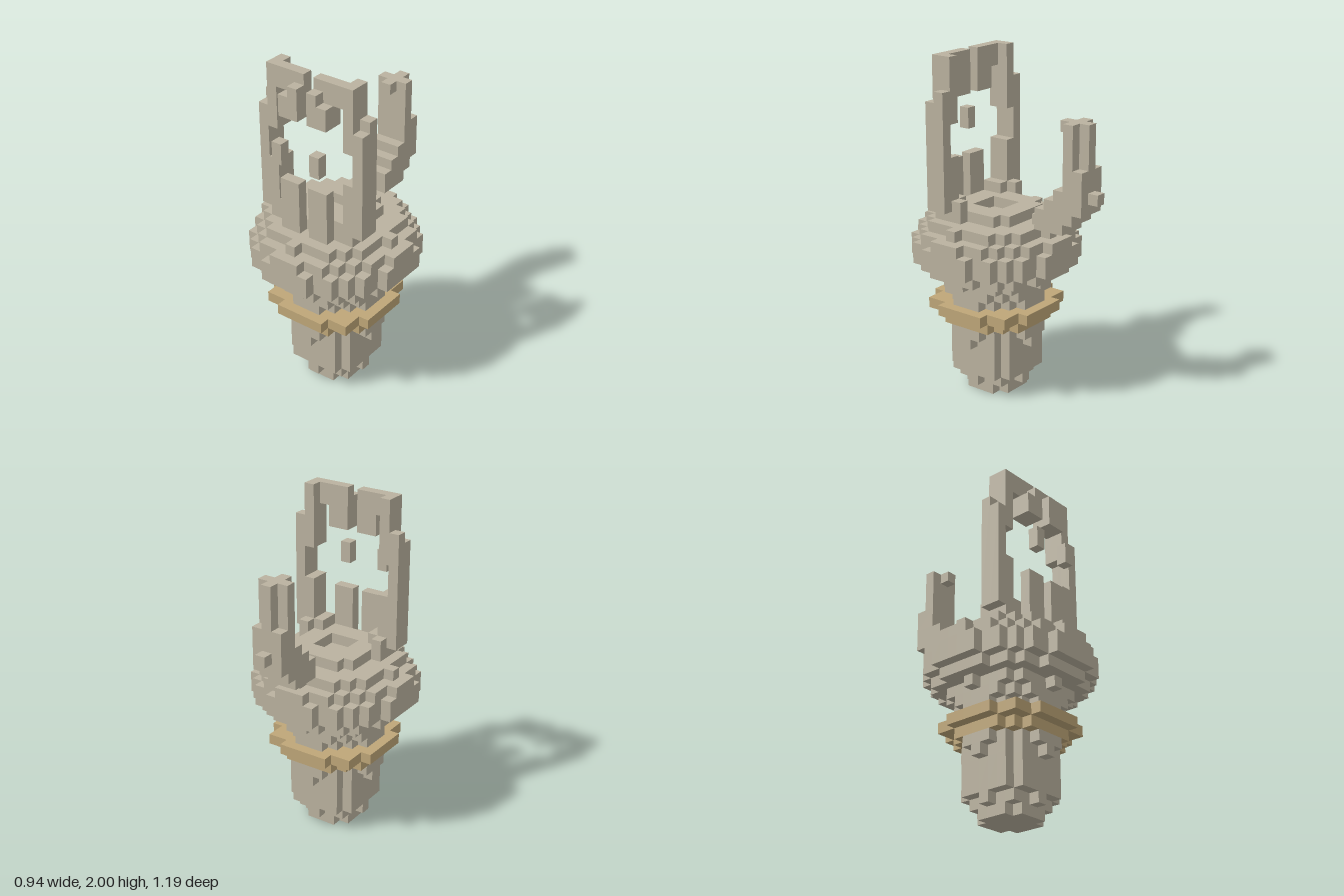
import * as THREE from 'three';
import { mergeGeometries } from 'three/addons/utils/BufferGeometryUtils.js';

const U = 1 / 16; // one cell of the block grid
const CZ = 2;     // grid z of the body's axis

// Block covering whole cells, both ends included; y counts up from the ground
function block([x0, x1, y0, y1, z0, z1]) {
  const g = new THREE.BoxGeometry((x1 - x0 + 1) * U, (y1 - y0 + 1) * U, (z1 - z0 + 1) * U);
  return g.translate((x0 + x1) / 2 * U, (y0 + y1 + 1) / 2 * U, (z0 + z1) / 2 * U);
}

// Round layers: half widths listed by distance from the axis
function disc(y0, y1, half) {
  return half.flatMap((w, d) => (d ? [-d, d] : [0]).map(s => [-w, w, y0, y1, CZ + s, CZ + s]));
}

// Half widths of a stepped circle with the given squared radius
function round(r2) {
  const half = [];
  for (let d = 0; d * d <= r2; d++) half.push(Math.floor(Math.sqrt(r2 - d * d)));
  return half;
}

const mirror = boxes => boxes.flatMap(b => [b, [-b[1], -b[0], ...b.slice(2)]]);

export function createModel() {
  const group = new THREE.Group();
  const stone = new THREE.MeshStandardMaterial({ color: 0xbab29f });
  stone.name = 'stone';
  const tan = new THREE.MeshStandardMaterial({ color: 0xbea678 });
  tan.name = 'tanBand';

  function part(name, material, boxes) {
    const mesh = new THREE.Mesh(mergeGeometries(boxes.map(block)), material);
    mesh.name = name;
    group.add(mesh);
  }

  // Handle shaft, widening towards the band
  part('shaft', stone, [
    ...disc(0, 0, round(5)),
    ...disc(1, 1, round(9)),
    ...disc(2, 4, round(13)),
    ...disc(5, 5, round(16)),
    ...disc(6, 6, round(17)),
  ]);

  // Two-step band
  part('band', tan, [...disc(7, 7, round(20)), ...disc(8, 8, round(32))]);

  // Bulging head
  part('head', stone, [
    ...disc(9, 9, round(17)),
    ...disc(10, 10, round(20)),
    ...disc(11, 11, round(25)),
    ...disc(12, 12, round(41)),
    ...disc(13, 14, round(54)),
    ...disc(15, 15, [7, 7, 6, 6, 5, 4, 3, 1]),
    ...disc(16, 16, round(36)),
  ]);

  // Raised rim around a square socket
  part('socketRim', stone, [
    [-2, 2, 17, 17, -1, -1],
    [-3, 3, 17, 17, 0, 0],
    [-3, 3, 17, 17, 4, 4],
    [-2, 2, 17, 17, 5, 5],
    ...mirror([[2, 3, 17, 17, 1, 3]]),
  ]);

  // Side arms of the front arch
  part('archArms', stone, mirror([
    [4, 4, 17, 22, 4, 5],
    [4, 4, 17, 18, 3, 3],
    [3, 3, 17, 18, 4, 5],
    [5, 5, 18, 27, 5, 5],
    [5, 5, 18, 28, 4, 4],
    [4, 4, 26, 31, 4, 5],
  ]));

  // Arch top with hanging teeth
  part('archTop', stone, mirror([
    [1, 3, 30, 31, 5, 5],
    [1, 2, 28, 29, 5, 5],
    [1, 1, 28, 30, 6, 6],
    [2, 2, 28, 29, 6, 6],
  ]));

  // Short posts and floating chips in front
  part('frontPosts', stone, mirror([[1, 2, 17, 21, 6, 6]]));
  part('floatingChips', stone, mirror([[2, 2, 24, 25, 7, 7]]));

  // Rear prong: stairs, column, hooked tip and a bump behind
  part('rearProng', stone, [
    [0, 0, 17, 17, -3, -3],
    [-1, 1, 17, 17, -6, -4],
    [-1, 1, 18, 18, -7, -4],
    [-1, 1, 19, 19, -8, -5],
    [-1, 1, 20, 20, -8, -6],
    [-1, 1, 21, 22, -8, -7],
    [-1, 1, 23, 26, -7, -7],
    [0, 0, 23, 26, -8, -8],
    [0, 0, 26, 26, -6, -6],
    [0, 0, 20, 20, -9, -9],
  ]);

  return group;
}
